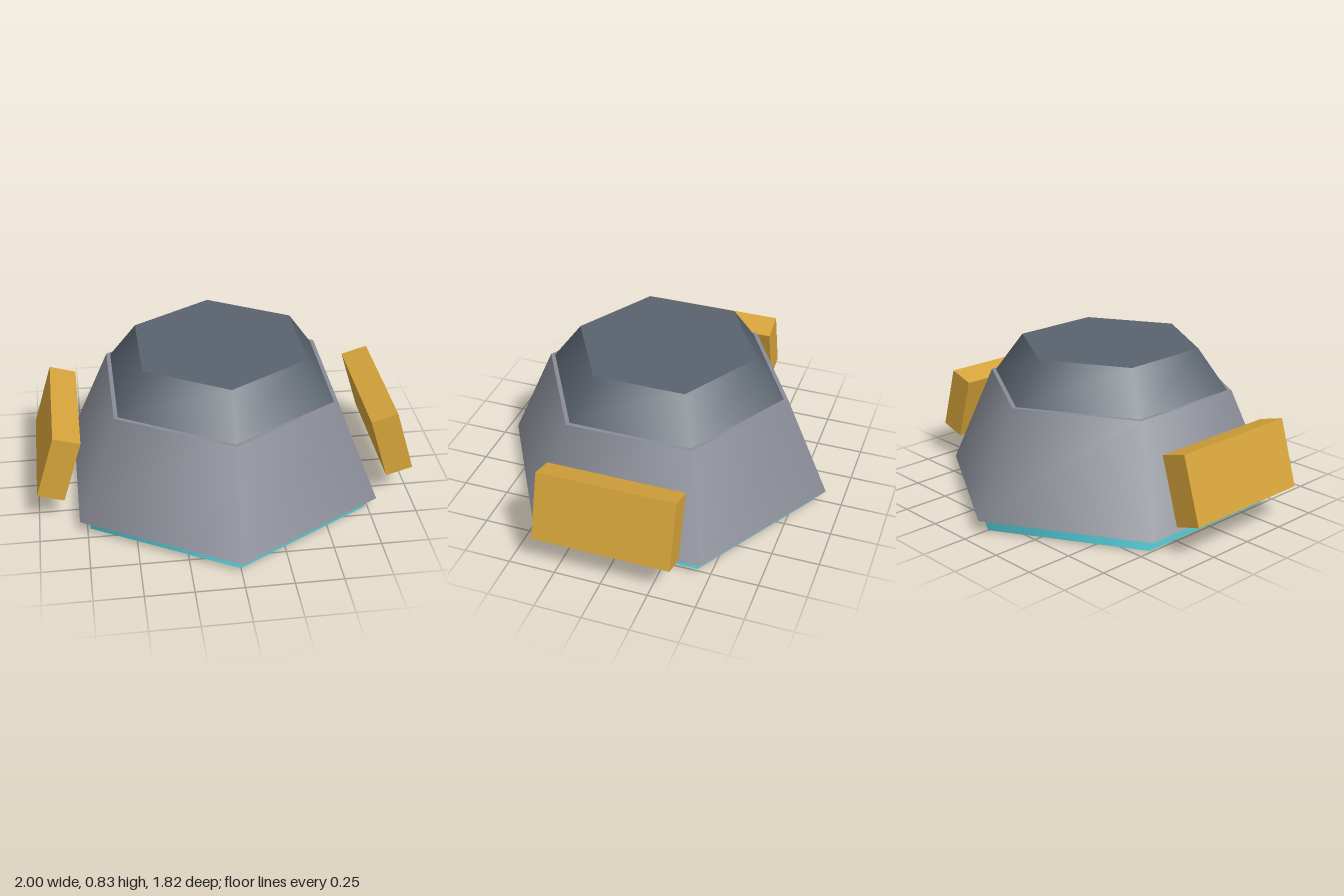
import * as THREE from 'three';

export function createModel() {
  const model = new THREE.Group();
  const material = (name, color) => {
    const m = new THREE.MeshStandardMaterial({ color });
    m.name = name;
    return m;
  };
  const hullGrey = material('hull grey', 0x8a8d97);
  const darkGrey = material('dark slate', 0x5a636e);
  const glowTeal = material('teal', 0x58d2de);
  const gold = material('gold', 0xd6a43b);

  // Six-sided tapered tier with corners on the z axis
  const tier = (name, rTop, rBottom, y0, y1, mat) => {
    const mesh = new THREE.Mesh(new THREE.CylinderGeometry(rTop, rBottom, y1 - y0, 6), mat);
    mesh.name = name;
    mesh.position.y = (y0 + y1) / 2;
    model.add(mesh);
  };
  tier('basePlate', 0.85, 0.85, 0, 0.072, glowTeal);
  tier('hull', 0.67, 0.91, 0.07, 0.615, hullGrey);
  tier('roof', 0.487, 0.65, 0.61, 0.83, darkGrey);

  // Tilted slabs floating beside the hull
  for (const [name, side] of [['leftPanel', 1], ['rightPanel', -1]]) {
    const panel = new THREE.Mesh(new THREE.BoxGeometry(0.146, 0.36, 0.73), gold);
    panel.name = name;
    panel.position.set(side * 0.878, 0.344, 0);
    panel.rotation.z = side * 0.29;
    model.add(panel);
  }
  return model;
}
